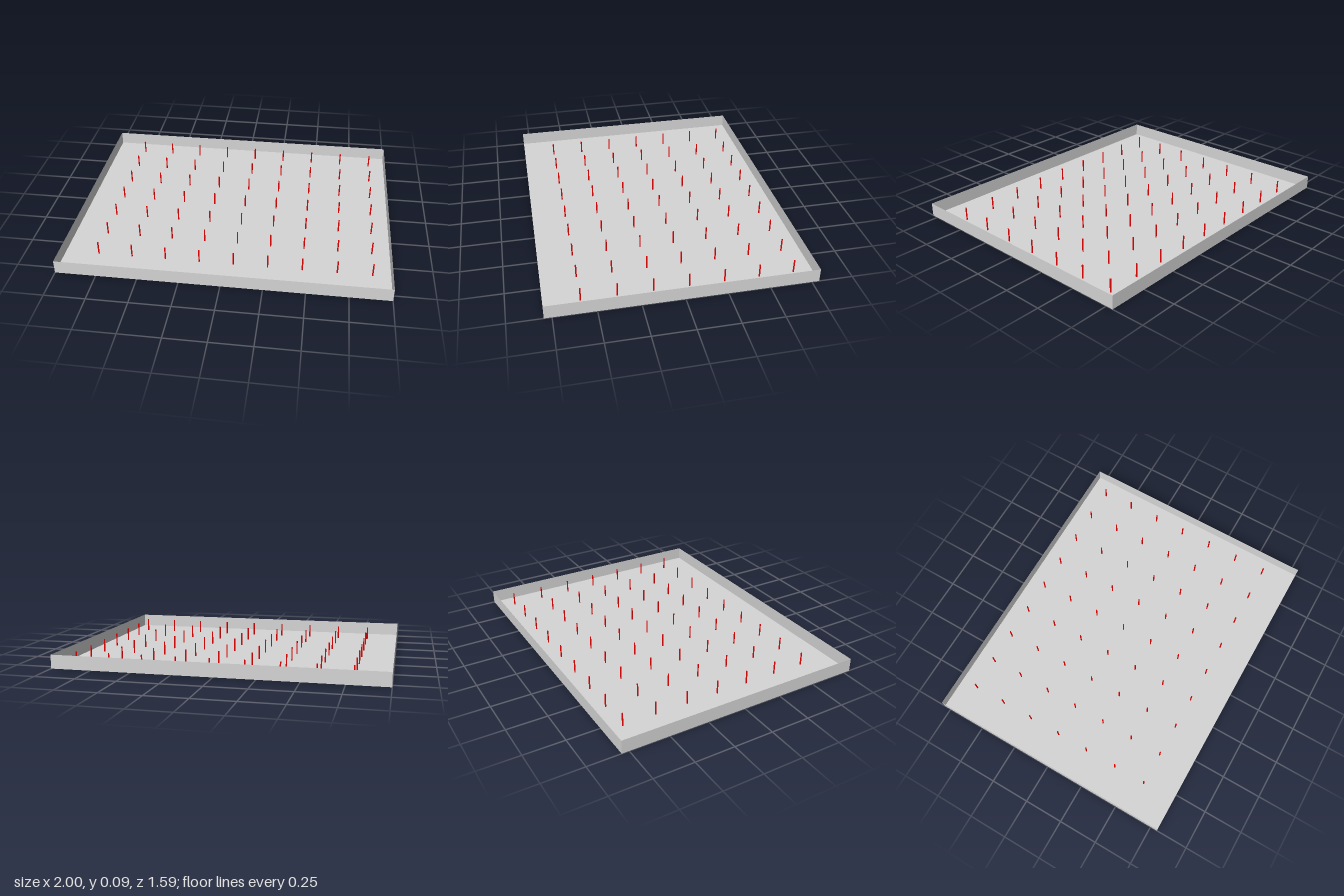
import * as THREE from 'three';

const WIDTH = 2, DEPTH = 1.59, HEIGHT = 0.085;
const PIN_RADIUS = 0.0043, SPACING = 0.21;

export function createModel() {
  const model = new THREE.Group();
  model.name = 'pinTray';

  const grey = new THREE.MeshStandardMaterial({ color: 0xd5d5d5, side: THREE.DoubleSide });
  grey.name = 'trayGrey';
  const red = new THREE.MeshStandardMaterial({ color: 0xff0000 });
  red.name = 'pinRed';

  // Open tray of thin sheets
  const tray = new THREE.Group();
  tray.name = 'tray';
  model.add(tray);
  const sheet = (name, w, h, position, rx, ry) => {
    const mesh = new THREE.Mesh(new THREE.PlaneGeometry(w, h), grey);
    mesh.name = name;
    mesh.position.set(...position);
    mesh.rotation.set(rx, ry, 0);
    tray.add(mesh);
  };
  sheet('floor', WIDTH, DEPTH, [0, 0, 0], -Math.PI / 2, 0);
  sheet('frontWall', WIDTH, HEIGHT, [0, HEIGHT / 2, DEPTH / 2], 0, 0);
  sheet('backWall', WIDTH, HEIGHT, [0, HEIGHT / 2, -DEPTH / 2], 0, Math.PI);
  sheet('leftWall', DEPTH, HEIGHT, [WIDTH / 2, HEIGHT / 2, 0], 0, Math.PI / 2);
  sheet('rightWall', DEPTH, HEIGHT, [-WIDTH / 2, HEIGHT / 2, 0], 0, -Math.PI / 2);

  // Grid of upright round pins, nine across and seven deep
  const pins = new THREE.Group();
  pins.name = 'pins';
  model.add(pins);
  const pinGeometry = new THREE.CylinderGeometry(PIN_RADIUS, PIN_RADIUS, HEIGHT, 16);
  for (let row = 0; row < 7; row++) {
    for (let column = 0; column < 9; column++) {
      const pin = new THREE.Mesh(pinGeometry, red);
      pin.name = 'pin';
      pin.position.set(-0.79 + column * SPACING, HEIGHT / 2, -0.678 + row * SPACING);
      pins.add(pin);
    }
  }
  return model;
}
